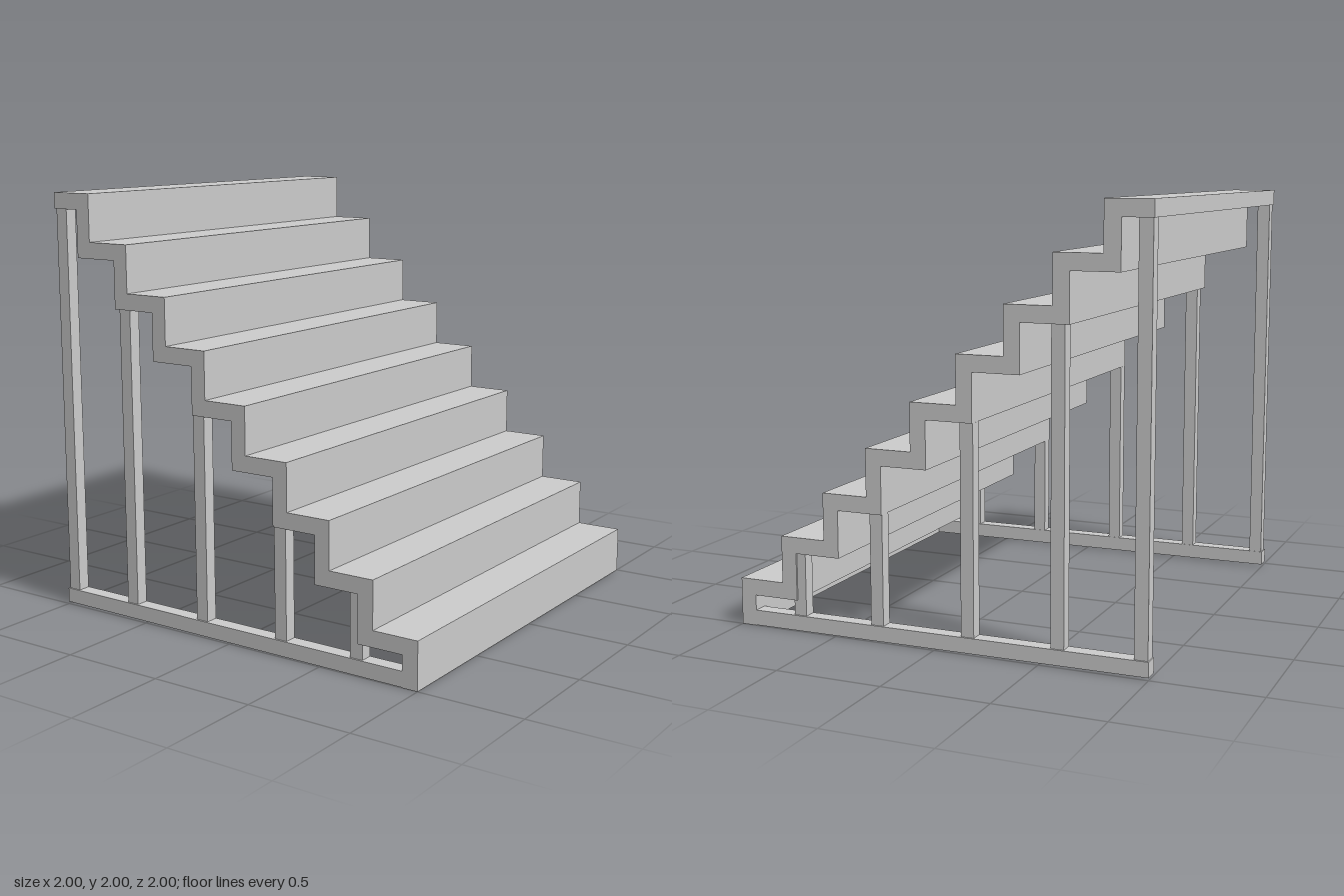
import * as THREE from 'three';

const STEPS = 9, RISE = 2 / STEPS, RUN = 0.223, T = 0.076;

export function createModel() {
  const group = new THREE.Group();
  const material = new THREE.MeshStandardMaterial({ color: 0xcccccc, flatShading: true });

  const add = (name, geometry, x = 0, y = 0, z = 0) => {
    const mesh = new THREE.Mesh(geometry, material);
    mesh.name = name;
    mesh.position.set(x, y, z);
    group.add(mesh);
  };

  // Extrude a side profile along z, centred on z = 0
  const extrude = (points, depth) => new THREE.ExtrudeGeometry(
    new THREE.Shape(points.map(([x, y]) => new THREE.Vector2(x, y))),
    { depth, bevelEnabled: false }
  ).translate(0, 0, -depth / 2);

  // Folded stair slab: upper zigzag going up, lower zigzag coming back down
  const upper = [], lower = [];
  for (let i = 0; i < STEPS; i++) {
    const front = 1 - i * RUN, top = (i + 1) * RISE;
    const back = i === STEPS - 1 ? -1 : front - RUN;
    const underEnd = i === STEPS - 1 ? -1 : back - T;
    upper.push([front, top], [back, top]);
    lower.push([front - T, top - T], [underEnd, top - T]);
  }
  upper.pop();
  lower.pop();
  const under = [];
  for (let i = 0; i < STEPS; i++) {
    const x = 1 - i * RUN - T;
    under.push([x, i === 0 ? 0 : i * RISE - T], [x, (i + 1) * RISE - T]);
  }
  add('stairs', extrude([[1, 0], ...upper, [-1, 2], [-1, 2 - T], ...under.reverse()], 2));

  // Posts: centre x and top height
  const posts = [
    [-0.963, 2 - T], [-0.585, 7 * RISE - T], [-0.161, 5 * RISE - T],
    [0.287, 3 * RISE - T], [0.688, 2 * RISE - T]
  ];
  for (const [side, label] of [[1, 'front'], [-1, 'back']]) {
    // Base rail, very slightly higher at the tall end
    add(label + 'BaseRail', extrude([[-1, 0.011], [0.925, 0.002], [0.925, 0.074], [-1, 0.08]], 0.07), 0, 0, side * 0.965);
    posts.forEach(([x, top], i) => {
      const height = top - 0.05;
      add(label + 'Post' + (i + 1), new THREE.BoxGeometry(0.062, height, 0.06), x, 0.05 + height / 2, side * 0.962);
    });
  }
  return group;
}
